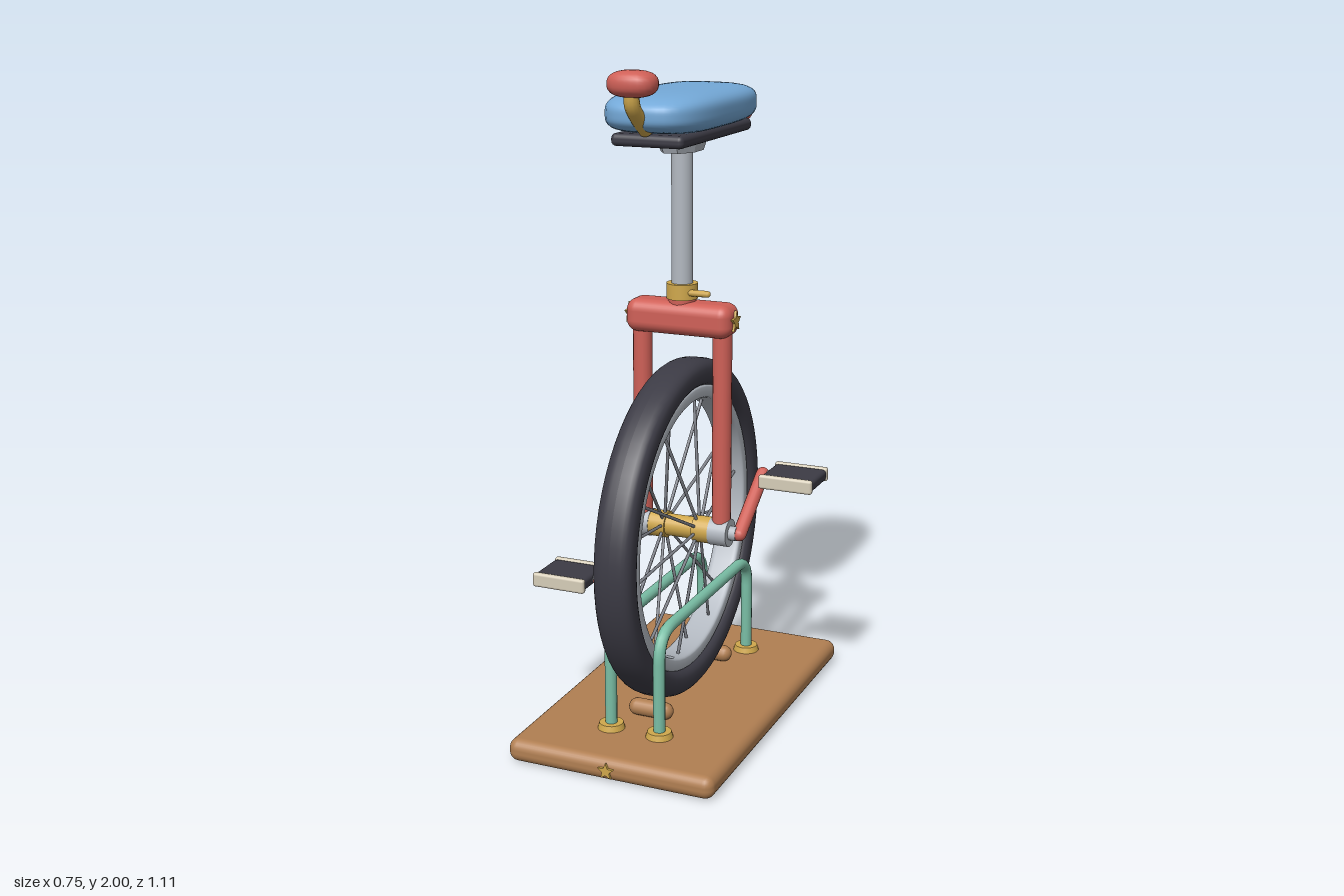
import * as THREE from 'three';
import { RoundedBoxGeometry } from 'three/addons/geometries/RoundedBoxGeometry.js';
import { mergeVertices } from 'three/addons/utils/BufferGeometryUtils.js';

const mat = (name, color) => Object.assign(new THREE.MeshStandardMaterial({ color }), { name });

// Closed hoop around the x axis with a squarish-round cross-section
function hoop(radius, halfRadial, halfWidth, n, steps) {
  const pow = (v) => Math.sign(v) * Math.abs(v) ** (2 / n);
  const pts = [];
  for (let i = 0; i <= steps; i++) {
    const a = (i / steps) * Math.PI * 2;
    pts.push(new THREE.Vector2(radius + halfRadial * pow(Math.cos(a)), halfWidth * pow(Math.sin(a))));
  }
  return new THREE.LatheGeometry(pts, 64).rotateZ(Math.PI / 2);
}

// Sphere pushed out towards a box, for padded shapes
function cushion(hx, hy, hz, n, ws = 40, hs = 28) {
  let g = new THREE.SphereGeometry(1, ws, hs);
  g.deleteAttribute('uv');
  g.deleteAttribute('normal');
  g = mergeVertices(g, 1e-5);
  const p = g.attributes.position;
  for (let i = 0; i < p.count; i++) {
    const v = new THREE.Vector3().fromBufferAttribute(p, i);
    const k = (Math.abs(v.x) ** n + Math.abs(v.y) ** n + Math.abs(v.z) ** n) ** (-1 / n);
    p.setXYZ(i, v.x * k * hx, v.y * k * hy, v.z * k * hz);
  }
  g.computeVertexNormals();
  return g;
}

function starGeometry(r) {
  const s = new THREE.Shape();
  for (let i = 0; i < 10; i++) {
    const a = Math.PI / 2 + (i * Math.PI) / 5, q = i % 2 ? r * 0.45 : r;
    s[i ? 'lineTo' : 'moveTo'](q * Math.cos(a), q * Math.sin(a));
  }
  return new THREE.ExtrudeGeometry(s, { depth: 0.008, bevelEnabled: false });
}

export function createModel() {
  const blue = mat('saddleBlue', 0x74a9d8), red = mat('frameRed', 0xcf6057);
  const dark = mat('rubber', 0x3c3b45), steel = mat('steel', 0xb3b9c1);
  const gold = mat('brass', 0xd0a84c), green = mat('standGreen', 0x7abfa6);
  const wood = mat('wood', 0xb17f52), cream = mat('cream', 0xd6cdb8);
  const wire = mat('spokeGrey', 0x83868e);

  const model = new THREE.Group();
  model.name = 'unicycleOnStand';
  const body = new THREE.Group();
  body.name = 'unicycle';
  body.position.z = -0.005;
  model.add(body);

  const V = (x, y, z) => new THREE.Vector3(x, y, z);
  function add(name, geo, material, x = 0, y = 0, z = 0) {
    const m = new THREE.Mesh(geo, material);
    m.name = name;
    m.position.set(x, y, z);
    body.add(m);
    return m;
  }
  // Cylinder or capsule between two points
  function rod(name, a, b, r, material, round = false, seg = 16) {
    const len = a.distanceTo(b);
    const geo = round ? new THREE.CapsuleGeometry(r, len, 5, seg) : new THREE.CylinderGeometry(r, r, len, seg);
    const m = add(name, geo, material);
    m.position.copy(a).lerp(b, 0.5);
    m.quaternion.setFromUnitVectors(V(0, 1, 0), b.clone().sub(a).normalize());
    return m;
  }
  const axle = 0.6;

  // Wooden base, wheel chocks and star
  add('base', new RoundedBoxGeometry(0.65, 0.07, 1.1, 3, 0.03), wood, 0, 0.035);
  for (const s of [-1, 1]) rod('chock', V(-0.045, 0.095, s * 0.235), V(0.045, 0.095, s * 0.235), 0.026, wood, true);
  add('baseStar', starGeometry(0.026), gold, 0, 0.036, 0.549);

  // Wheel
  add('tyre', hoop(0.477, 0.043, 0.06, 2.8, 28), dark, 0, axle);
  add('rim', hoop(0.42, 0.022, 0.045, 5, 24), steel, 0, axle);
  for (let i = 0; i < 20; i++) {
    const a = ((i + 0.5) * Math.PI) / 10, c = Math.cos(a), s = Math.sin(a), side = i % 2 ? 1 : -1;
    rod('spoke', V(side * 0.055, axle + 0.03 * c, 0.03 * s), V(side * 0.012, axle + 0.405 * c, 0.405 * s), 0.005, wire, false, 6);
  }
  rod('hub', V(-0.1, axle, 0), V(0.1, axle, 0), 0.034, gold, false, 24);
  rod('axle', V(-0.18, axle, 0), V(0.18, axle, 0), 0.022, steel);

  // Parts on both sides: fork, cranks, pedals and stand hoops
  for (const s of [-1, 1]) {
    rod('hubFlange', V(s * 0.045, axle, 0), V(s * 0.098, axle, 0), 0.041, gold, false, 24);
    rod('bearing', V(s * 0.098, axle, 0), V(s * 0.158, axle, 0), 0.043, steel, false, 24);
    rod('forkLeg', V(s * 0.129, axle + 0.02, 0), V(s * 0.129, 1.24, 0), 0.029, red);
    add('crownStar', starGeometry(0.033), gold, s * 0.166, 1.255).rotation.y = (s * Math.PI) / 2;

    const py = axle + s * 0.135, pz = -s * 0.192;
    rod('crank', V(s * 0.188, axle, 0), V(s * 0.188, py, pz), 0.021, red, true);
    rod('pedalSpindle', V(s * 0.188, py, pz), V(s * 0.23, py, pz), 0.013, steel);
    add('pedal', new RoundedBoxGeometry(0.168, 0.036, 0.138, 2, 0.012), dark, s * 0.29, py, pz);
    for (const e of [-1, 1]) {
      add('pedalBar', new RoundedBoxGeometry(0.172, 0.044, 0.02, 2, 0.008), cream, s * 0.289, py, pz + e * 0.073);
    }

    const path = new THREE.CurvePath(), x = s * 0.078, w = 0.35, top = 0.39, r = 0.09;
    path.add(new THREE.LineCurve3(V(x, 0.07, -w), V(x, top - r, -w)));
    path.add(new THREE.QuadraticBezierCurve3(V(x, top - r, -w), V(x, top, -w), V(x, top, -w + r)));
    path.add(new THREE.LineCurve3(V(x, top, -w + r), V(x, top, w - r)));
    path.add(new THREE.QuadraticBezierCurve3(V(x, top, w - r), V(x, top, w), V(x, top - r, w)));
    path.add(new THREE.LineCurve3(V(x, top - r, w), V(x, 0.07, w)));
    add('standHoop', new THREE.TubeGeometry(path, 72, 0.018, 12), green);
    for (const e of [-1, 1]) {
      add('standFoot', new THREE.CylinderGeometry(0.036, 0.041, 0.018, 24), gold, x, 0.079, e * w);
    }
  }

  // Fork crown, clamp and seat post
  add('forkCrown', new RoundedBoxGeometry(0.335, 0.1, 0.11, 4, 0.035), red, 0, 1.255);
  add('neck', new THREE.CylinderGeometry(0.042, 0.042, 0.03, 20), red, 0, 1.305);
  add('clamp', new THREE.CylinderGeometry(0.047, 0.047, 0.046, 24), gold, 0, 1.335);
  rod('clampLever', V(0, 1.334, 0.024), V(0.09, 1.334, 0.024), 0.01, gold, true, 10);
  rod('seatPost', V(0, 1.3, 0), V(0, 1.78, 0), 0.032, steel, false, 24);

  // Saddle
  const mount = new THREE.CylinderGeometry(0.11, 0.092, 0.04, 8).rotateY(Math.PI / 8).toNonIndexed();
  mount.computeVertexNormals();
  add('saddleMount', mount.scale(0.62, 1, 1), steel, 0, 1.766);
  add('saddlePlate', new RoundedBoxGeometry(0.22, 0.036, 0.53, 3, 0.015), dark, 0, 1.799, -0.01);
  add('saddle', cushion(0.157, 0.06, 0.315, 3.3, 56, 36), blue, 0, 1.87, -0.008);
  add('rearBumper', cushion(0.095, 0.055, 0.047, 3), red, 0, 1.845, -0.304);
  add('bumperStar', starGeometry(0.032), gold, 0, 1.847, -0.347).rotation.y = Math.PI;

  // Front grip
  const stem = new THREE.CatmullRomCurve3([V(0, 1.83, 0.25), V(0, 1.865, 0.3), V(0, 1.905, 0.34), V(0, 1.955, 0.345)]);
  add('gripStem', new THREE.TubeGeometry(stem, 20, 0.022, 12), gold);
  add('grip', cushion(0.07, 0.037, 0.054, 2.6, 24, 16), red, 0, 1.963, 0.336);

  return model;
}
